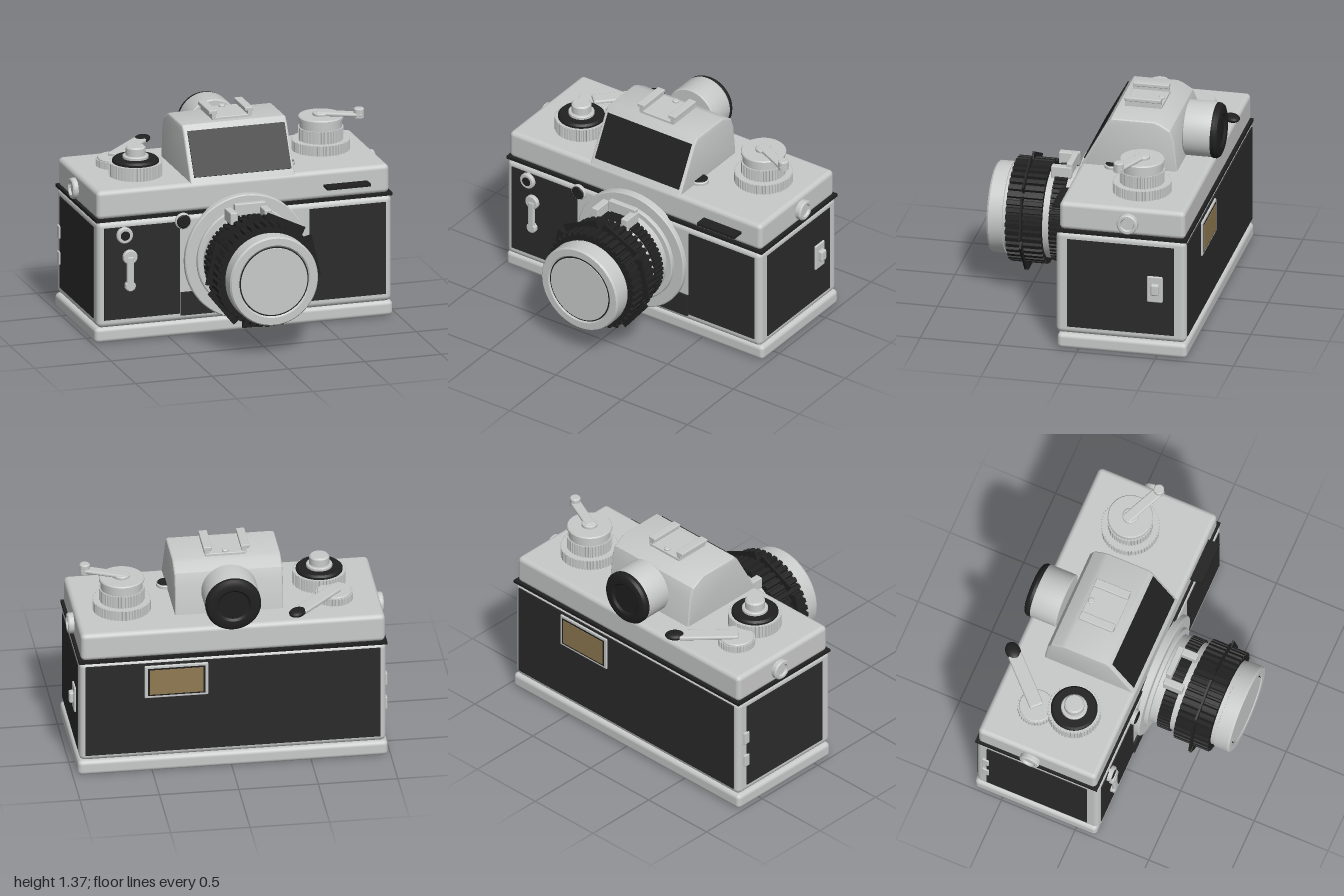
import * as THREE from 'three';
import { toCreasedNormals } from 'three/addons/utils/BufferGeometryUtils.js';
import { RoundedBoxGeometry } from 'three/addons/geometries/RoundedBoxGeometry.js';

const material = (name, color) => Object.assign(new THREE.MeshStandardMaterial({ color }), { name });

export function createModel() {
  const silver = material('silver', 0xc8c9c9);
  const leather = material('leather', 0x2b2b2b);
  const black = material('black', 0x202020);
  const gold = material('gold', 0x8f7a52);
  const root = new THREE.Group();
  root.name = 'filmCamera';

  const add = (name, geo, mat, x = 0, y = 0, z = 0, parent = root) => {
    const mesh = new THREE.Mesh(geo, mat);
    mesh.name = name;
    mesh.position.set(x, y, z);
    parent.add(mesh);
    return mesh;
  };
  // box given by its limits on each axis, optionally with rounded edges
  const box = (name, mat, [x0, x1], [y0, y1], [z0, z1], r = 0, parent = root) => {
    const s = [x1 - x0, y1 - y0, z1 - z0];
    const geo = r ? new RoundedBoxGeometry(...s, 3, r) : new THREE.BoxGeometry(...s);
    return add(name, geo, mat, (x0 + x1) / 2, (y0 + y1) / 2, (z0 + z1) / 2, parent);
  };
  // turned part from [radius, height] points; axis 'x' or 'z' lays it down
  const turned = (name, mat, pts, x, y, z, axis = 'y', parent = root) => {
    let geo = new THREE.LatheGeometry(pts.map((p) => new THREE.Vector2(...p)), 64);
    if (axis === 'z') geo.rotateX(Math.PI / 2);
    if (axis === 'x') geo.rotateZ(-Math.PI / 2);
    return add(name, toCreasedNormals(geo, 0.5), mat, x, y, z, parent);
  };
  const disc = (r, h0, h1, c = 0.006) => [[0, h0], [r, h0], [r, h1 - c], [r - c, h1], [0, h1]];
  // serrated wheel extruded along z, or upright
  const gear = (name, mat, r, depth, teeth, cut, x, y, z, upright = true, parent = root) => {
    const pts = [];
    for (let i = 0; i < teeth; i++) {
      for (const [f, q] of [[0.08, r - cut], [0.2, r], [0.72, r], [0.84, r - cut]]) {
        const a = ((i + f) / teeth) * Math.PI * 2;
        pts.push(new THREE.Vector2(Math.cos(a) * q, Math.sin(a) * q));
      }
    }
    const geo = new THREE.ExtrudeGeometry(new THREE.Shape(pts), { depth, bevelEnabled: false });
    if (upright) geo.rotateX(-Math.PI / 2);
    return add(name, geo, mat, x, y, z, parent);
  };

  // body shell
  box('basePlate', silver, [-0.984, 0.968], [0, 0.1], [-0.692, 0.135], 0.028);
  box('body', silver, [-0.972, 0.957], [0.1, 0.79], [-0.685, 0.145], 0.035);
  box('seam', black, [-0.978, 0.962], [0.787, 0.806], [-0.69, 0.137]);
  box('topCover', silver, [-0.968, 0.947], [0.8, 0.985], [-0.677, 0.125], 0.03);
  box('frontRightLeather', leather, [-0.93, -0.433], [0.152, 0.751], [0.14, 0.15]);
  box('frontLeftLeather', leather, [0.417, 0.914], [0.152, 0.751], [0.14, 0.15]);
  box('backLeather', leather, [-0.935, 0.92], [0.14, 0.765], [-0.692, -0.68]);
  box('leftLeather', leather, [0.95, 0.961], [0.15, 0.745], [-0.61, 0.07]);
  box('rightLeather', leather, [-0.977, -0.965], [0.15, 0.745], [-0.61, 0.07]);
  box('mountApron', leather, [-0.43, 0.41], [0.14, 0.29], [0.13, 0.158]);
  box('frontSlot', black, [0.515, 0.8], [0.879, 0.896], [0.11, 0.203]);

  // back memo window
  box('memoFrame', silver, [0.15, 0.55], [0.525, 0.75], [-0.703, -0.685], 0.006);
  box('memoInset', black, [0.17, 0.53], [0.542, 0.733], [-0.705, -0.7]);
  box('memoCard', gold, [0.182, 0.518], [0.552, 0.723], [-0.708, -0.7]);

  // side fittings
  box('latchPlate', silver, [0.95, 0.972], [0.37, 0.545], [-0.54, -0.44], 0.008);
  box('latchButton', silver, [0.96, 1.0], [0.425, 0.5], [-0.52, -0.468], 0.012);
  for (const y of [0.3, 0.47]) box('hinge', silver, [-0.986, -0.96], [y, y + 0.085], [-0.64, -0.595], 0.006);
  const lugRing = [[0, 0], [0.066, 0], [0.066, 0.032], [0.058, 0.04], [0.044, 0.04], [0.038, 0.025], [0, 0.025]];
  turned('leftStrapLug', silver, lugRing, 0.945, 0.885, -0.315, 'x');
  turned('rightStrapLug', silver, lugRing, -0.962, 0.885, -0.315, 'x').rotation.y = Math.PI;

  // front controls
  turned('socketRim', silver, disc(0.052, 0, 0.03), -0.8, 0.7, 0.145, 'z');
  turned('socketHole', black, disc(0.03, 0, 0.004, 0.001), -0.8, 0.7, 0.174, 'z');
  turned('timerHub', silver, disc(0.047, 0, 0.03), -0.765, 0.555, 0.145, 'z');
  box('timerLever', silver, [-0.788, -0.742], [0.37, 0.56], [0.155, 0.18], 0.01);
  turned('timerTip', silver, disc(0.034, 0, 0.03), -0.765, 0.368, 0.15, 'z');
  turned('releaseRim', silver, disc(0.052, 0, 0.02), -0.415, 0.755, 0.145, 'z');
  turned('releaseButton', black, disc(0.044, 0, 0.012), -0.415, 0.755, 0.16, 'z');

  // viewfinder hump
  const profile = [[-0.123, 0.975], [0.04, 1.275], [0.07, 1.308], [0.346, 1.308], [0.38, 1.295],
    [0.445, 1.255], [0.47, 1.19], [0.492, 0.975]];
  const hump = new THREE.ExtrudeGeometry(new THREE.Shape(profile.map((p) => new THREE.Vector2(...p))), {
    depth: 0.653, bevelSize: 0.015, bevelThickness: 0.015, bevelOffset: -0.015, bevelSegments: 3 });
  add('viewfinderHump', toCreasedNormals(hump.rotateY(Math.PI / 2), 0.45), silver, -0.338, 0, 0);
  add('humpFrontPanel', new THREE.BoxGeometry(0.636, 0.298, 0.009), black, -0.008, 1.145, 0.034)
    .rotation.x = -Math.atan2(0.163, 0.3);

  // accessory shoe
  box('shoeBase', silver, [-0.136, 0.118], [1.3, 1.325], [-0.346, -0.112], 0.005);
  for (const s of [-1, 1]) {
    const x = -0.009 + s * 0.118;
    box('shoeWall', silver, [x - 0.014, x + 0.014], [1.315, 1.35], [-0.342, -0.112]);
    box('shoeRail', silver, [x - 0.032, x + 0.022], [1.345, 1.37], [-0.342, -0.112], 0.006);
  }
  turned('shoeContact', silver, disc(0.02, 0, 0.02), -0.009, 1.32, -0.32);

  // eyepiece
  turned('eyepieceTube', silver, [[0, -0.665], [0.172, -0.665], [0.175, -0.655], [0.175, -0.492], [0.168, -0.485],
    [0, -0.485]], -0.01, 1.145, 0, 'z');
  turned('eyecup', black, [[0, -0.695], [0.095, -0.695], [0.108, -0.708], [0.14, -0.711], [0.163, -0.702],
    [0.175, -0.685], [0.175, -0.665], [0.168, -0.652], [0, -0.652]], -0.01, 1.14, 0, 'z');

  // shutter dial
  gear('shutterDial', silver, 0.167, 0.09, 48, 0.008, -0.622, 0.98, -0.17);
  turned('dialScale', black, disc(0.146, 1.065, 1.095, 0.012), -0.622, 0, -0.17);
  turned('shutterCollar', silver, disc(0.082, 1.07, 1.115), -0.622, 0, -0.17);
  turned('shutterButton', silver, disc(0.063, 1.11, 1.172, 0.01), -0.622, 0, -0.17);

  // film advance lever
  const lever = new THREE.Group();
  lever.name = 'advanceLever';
  lever.position.set(-0.685, 0, -0.4);
  lever.rotation.y = Math.atan2(0.28, 0.275);
  root.add(lever);
  gear('leverWheel', silver, 0.117, 0.05, 36, 0.006, 0, 0.98, 0, true, lever);
  turned('leverCap', silver, disc(0.108, 1.025, 1.042), 0, 0, 0, 'y', lever);
  box('leverArm', silver, [-0.01, 0.36], [1.035, 1.062], [-0.045, 0.045], 0.01, lever);
  add('leverTip', new THREE.SphereGeometry(1, 32, 16), black, 0.385, 1.05, 0, lever).scale.set(0.062, 0.024, 0.048);

  // rewind knob and crank
  gear('rewindBase', silver, 0.184, 0.07, 56, 0.008, 0.645, 0.98, -0.338);
  gear('rewindKnob', silver, 0.142, 0.08, 44, 0.007, 0.645, 1.05, -0.338);
  turned('rewindCap', silver, [[0, 1.12], [0.132, 1.12], [0.132, 1.18], [0.142, 1.183], [0.142, 1.195],
    [0.136, 1.202], [0, 1.202]], 0.645, 0, -0.338);
  const crank = new THREE.Group();
  crank.name = 'rewindCrank';
  crank.position.set(0.645, 0, -0.338);
  crank.rotation.y = -Math.atan2(0.1, 0.22);
  root.add(crank);
  turned('crankHub', silver, disc(0.05, 1.2, 1.222), 0, 0, 0, 'y', crank);
  box('crankArm', silver, [-0.03, 0.26], [1.202, 1.226], [-0.033, 0.033], 0.01, crank);
  turned('crankGrip', silver, disc(0.033, 1.195, 1.257), 0.24, 0, 0, 'y', crank);

  // frame counter
  turned('counterRim', silver, disc(0.058, 0.98, 1.006), 0.335, 0, -0.088);
  turned('counterDial', black, disc(0.05, 1.0, 1.01, 0.003), 0.335, 0, -0.088);

  // lens
  const lens = new THREE.Group();
  lens.name = 'lens';
  lens.position.set(-0.006, 0.492, 0);
  root.add(lens);
  turned('mountFlange', silver, disc(0.403, 0.13, 0.178), 0, 0, 0, 'z', lens);
  turned('mountRing', silver, disc(0.33, 0.17, 0.202), 0, 0, 0, 'z', lens);
  turned('innerBarrel', silver, disc(0.292, 0.2, 0.4), 0, 0, 0, 'z', lens);
  gear('apertureRing', black, 0.306, 0.083, 56, 0.012, 0, 0, 0.256, false, lens);
  gear('focusRing', black, 0.332, 0.23, 42, 0.02, 0, 0, 0.38, false, lens);
  for (let i = 0; i < 7; i++) {
    // flat grip tabs around the focus ring
    const a = -Math.PI / 2 + (i * Math.PI * 2) / 7;
    add('focusTab', new THREE.BoxGeometry(0.052, 0.27, 0.013), black,
      Math.cos(a) * 0.33, Math.sin(a) * 0.33, 0.507, lens).rotation.z = a;
  }
  turned('frontBarrel', silver, [[0, 0.6], [0.28, 0.6], [0.28, 0.636], [0.289, 0.638], [0.289, 0.726], [0.28, 0.738],
    [0.235, 0.738], [0.224, 0.728], [0, 0.728]], 0, 0, 0, 'z', lens);
  turned('glassEdge', black, disc(0.226, 0.725, 0.731, 0.001), 0, 0, 0, 'z', lens);
  turned('frontGlass', silver, disc(0.218, 0.728, 0.734, 0.001), 0, 0, 0, 'z', lens);

  // aperture coupling prongs
  for (const x of [-0.148, 0.075]) {
    box('couplingProng', silver, [x - 0.024, x + 0.024], [0.765, 0.842], [0.235, 0.365], 0.006);
  }
  box('couplingBar', silver, [-0.112, 0.092], [0.79, 0.866], [0.23, 0.268], 0.006);
  return root;
}
